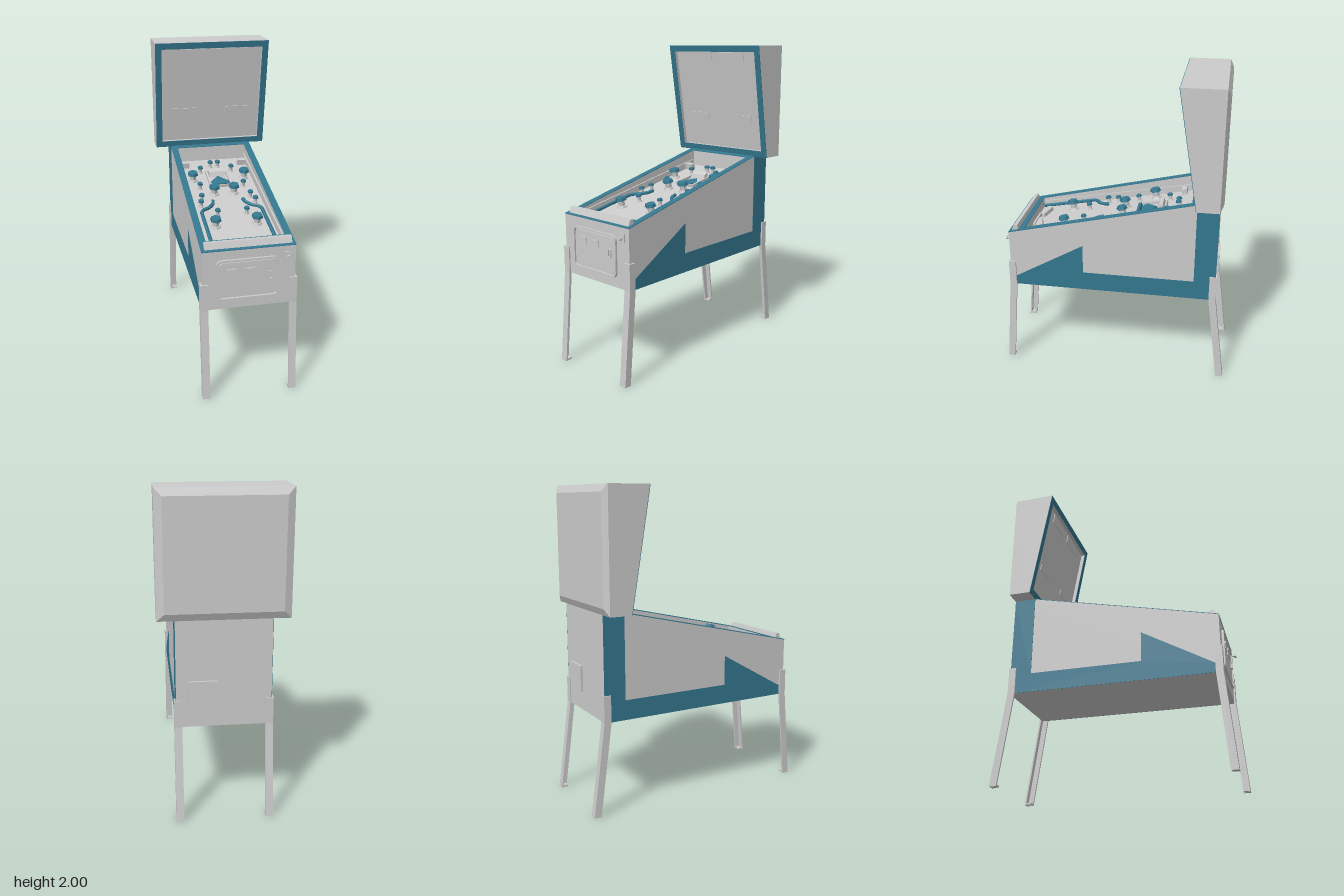
import * as THREE from 'three';
import { ConvexGeometry } from 'three/addons/geometries/ConvexGeometry.js';

const grey = new THREE.MeshStandardMaterial({ color: 0xcccccc, flatShading: true });
const blue = new THREE.MeshStandardMaterial({ color: 0x35788f, flatShading: true });

function add(parent, name, geometry, material = grey, x = 0, y = 0, z = 0) {
  const mesh = new THREE.Mesh(geometry, material);
  mesh.name = name;
  mesh.position.set(x, y, z);
  parent.add(mesh);
  return mesh;
}
const box = (w, h, d) => new THREE.BoxGeometry(w, h, d);
const shapeOf = (pts) => new THREE.Shape(pts.map(([a, b]) => new THREE.Vector2(a, b)));
const extrude = (shape, depth) =>
  new THREE.ExtrudeGeometry(shape, { depth, bevelEnabled: false, curveSegments: 5 });

// Side profile given as [z, y] points, swept across x0..x1
function profile(pts, x0, x1) {
  return extrude(shapeOf(pts), x1 - x0).rotateY(-Math.PI / 2).translate(x1, 0, 0);
}

function roundedRect(w, h, r, Type = THREE.Shape) {
  const s = new Type(), a = w / 2 - r, b = h / 2 - r;
  s.absarc(a, b, r, 0, Math.PI / 2);
  s.absarc(-a, b, r, Math.PI / 2, Math.PI);
  s.absarc(-a, -b, r, Math.PI, Math.PI * 1.5);
  s.absarc(a, -b, r, Math.PI * 1.5, Math.PI * 2);
  s.closePath();
  return s;
}
function frameShape(w, h, r, border) {
  const s = roundedRect(w, h, r);
  s.holes.push(roundedRect(w - 2 * border, h - 2 * border, Math.max(r - border, 0.001), THREE.Path));
  return s;
}

const rimY = (z) => 0.97 + (0.69 - z) * 0.2304;

function buildCabinet(root) {
  const g = new THREE.Group();
  g.name = 'cabinet';
  root.add(g);
  const rim = (z0, z1, x0, x1) => add(g, 'topRim', profile(
    [[z0, rimY(z0)], [z1, rimY(z1)], [z1, rimY(z1) + 0.004], [z0, rimY(z0) + 0.004]], x0, x1), blue);
  const side = [[0.69, 0.59], [0.69, 0.97], [-0.525, 1.25], [-0.665, 1.25], [-0.665, 0.59]];
  const decal = [[0.655, 0.59], [0.655, 0.65], [0.2, 0.91], [0.2, 0.715], [-0.525, 0.715],
    [-0.525, 1.25], [-0.665, 1.25], [-0.665, 0.59]];
  for (const s of [-1, 1]) {
    const across = (a, b) => (s > 0 ? [a, b] : [-b, -a]);
    add(g, 'sidePanel', profile(side, ...across(0.245, 0.285)));
    add(g, 'sideDecal', profile(decal, ...across(0.285, 0.287)), blue);
    rim(0.59, -0.525, ...across(0.243, 0.286));
  }
  rim(0.692, 0.59, -0.286, 0.286);
  rim(-0.49, -0.525, -0.245, 0.245);
  add(g, 'frontWall', profile([[0.59, 0.59], [0.69, 0.59], [0.69, 0.97], [0.59, rimY(0.59)]], -0.245, 0.245));
  add(g, 'backWall', profile([[-0.665, 0.59], [-0.505, 0.59], [-0.505, 1.24], [-0.525, 1.25], [-0.665, 1.25]], -0.245, 0.245));
  add(g, 'floor', box(0.49, 0.02, 1.1), grey, 0, 0.6, 0.04);
  add(g, 'lockdownBar', profile([[0.675, 0.975], [0.66, 1.015], [0.637, 1.015], [0.628, 0.985]], -0.265, 0.265));
  add(g, 'rearAccessPanel', box(0.17, 0.17, 0.015), grey, 0.125, 0.795, -0.672);

  // Coin door
  const door = new THREE.Group();
  door.name = 'coinDoor';
  door.position.set(-0.01, 0.78, 0.69);
  g.add(door);
  add(door, 'doorFrame', extrude(frameShape(0.385, 0.265, 0.035, 0.014), 0.014));
  add(door, 'doorPanel', extrude(roundedRect(0.345, 0.225, 0.024), 0.008));
  for (const x of [-0.1, 0.01]) {
    add(door, 'coinPlate', box(0.065, 0.05, 0.004), grey, x, 0.05, 0.01);
    add(door, 'coinSlot', box(0.052, 0.012, 0.012), grey, x, 0.066, 0.012);
  }
  add(door, 'doorHandle', extrude(frameShape(0.03, 0.055, 0.01, 0.006), 0.008), grey, 0.138, 0.015, 0.008);

  // Plunger
  const round = (r, d) => new THREE.CylinderGeometry(r, r, d, 10).rotateX(Math.PI / 2);
  add(g, 'plungerPlate', box(0.034, 0.05, 0.008), grey, 0.234, 0.907, 0.694);
  add(g, 'plungerRod', round(0.006, 0.03), grey, 0.234, 0.907, 0.708);
  add(g, 'plungerKnob', round(0.013, 0.012), grey, 0.234, 0.907, 0.72);
}

// Angle-section leg, bent where it leaves the cabinet
function buildLeg(root, sx, sz, zTop) {
  const g = new THREE.Group();
  g.name = sz > 0 ? 'frontLeg' : 'rearLeg';
  root.add(g);
  const strip = (width) => [[zTop, 0.76], [zTop, 0.59], [0.75, 0], [0.75 - width, 0],
    [zTop - width, 0.59], [zTop - width, 0.76]].map(([z, y]) => [z * sz, y]);
  const across = (a, b) => (sx > 0 ? [a, b] : [-b, -a]);
  add(g, 'legSide', profile(strip(0.046), ...across(0.285, 0.297)));
  add(g, 'legFace', profile(strip(0.011), ...across(0.25, 0.297)));
  add(g, 'legFoot', box(0.045, 0.012, 0.042), grey, sx * 0.273, 0.008, sz * 0.727);
}

function buildBackbox(root) {
  const g = new THREE.Group();
  g.name = 'backbox';
  root.add(g);
  const lean = 0.125 / 0.75;
  const frontZ = (y) => -0.525 + (y - 1.25) * lean;
  const band = (y0, y1) => [[frontZ(y0), y0], [frontZ(y1), y1], [frontZ(y1) - 0.04, y1], [frontZ(y0) - 0.04, y0]];
  add(g, 'backboxBody', profile([[-0.55, 1.25], [-0.425, 2], [-0.665, 2], [-0.665, 1.25]], -0.39, 0.39));
  add(g, 'surroundSide', profile(band(1.25, 2), -0.39, -0.348));
  add(g, 'surroundSide', profile(band(1.25, 2), 0.348, 0.39));
  add(g, 'surroundTop', profile(band(1.957, 2), -0.348, 0.348));
  add(g, 'surroundBottom', profile(band(1.25, 1.292), -0.348, 0.348));

  // Bevelled rear cover
  const corners = [];
  for (const sx of [-1, 1]) for (const sy of [-1, 1]) {
    corners.push(new THREE.Vector3(sx * 0.39, 1.625 + sy * 0.375, -0.665));
    corners.push(new THREE.Vector3(sx * 0.345, 1.625 + sy * 0.33, -0.687));
  }
  add(g, 'rearCover', new ConvexGeometry(corners));

  // Leaning front: coloured frame and shallow display panels
  const face = new THREE.Group();
  face.name = 'backboxFace';
  face.position.set(0, 1.25, -0.525);
  face.rotation.x = Math.atan(lean);
  g.add(face);
  add(face, 'faceFrame', extrude(frameShape(0.78, 0.76, 0.001, 0.042), 0.003), blue, 0, 0.38, 0);
  for (const s of [-1, 1]) {
    add(face, 'upperDisplay', box(0.21, 0.065, 0.008), grey, s * 0.137, 0.675, -0.024);
    add(face, 'lowerDisplay', box(0.165, 0.04, 0.008), grey, s * 0.187, 0.26, -0.024);
  }
}

function buildPlayfield(root) {
  const g = new THREE.Group();
  g.name = 'playfield';
  g.position.y = 1.04;
  g.rotation.x = Math.atan(0.19);
  root.add(g);
  add(g, 'playfieldBoard', box(0.49, 0.02, 1.13), grey, 0, -0.01, 0.04);
  add(g, 'apronStrip', box(0.18, 0.02, 0.014), grey, 0, 0.01, 0.583);

  // Hexagonal post: base, stem and coloured cap
  const hex = (top, bottom, h) => new THREE.CylinderGeometry(top, bottom, h, 6);
  function post(name, x, z, r, h) {
    const p = new THREE.Group();
    p.name = name;
    p.position.set(x, 0, z);
    g.add(p);
    add(p, 'postBase', hex(r * 0.8, r, h * 0.2), grey, 0, h * 0.1, 0);
    add(p, 'postStem', hex(r * 0.6, r * 0.6, h * 0.6), grey, 0, h * 0.45, 0);
    add(p, 'postCap', hex(r * 0.85, r, h * 0.28), blue, 0, h * 0.84, 0);
  }
  const bumpers = [[0.18, -0.23], [0.067, -0.035], [0.133, 0.35]];
  const pegs = [[0.11, -0.335], [0.15, -0.115], [0.165, 0.03], [0.182, 0.105], [0.095, 0.225], [0.026, -0.405]];

  for (const s of [-1, 1]) {
    for (const [x, z] of bumpers) post('bumper', s * x, z, 0.038, 0.07);
    for (const [x, z] of pegs) post('peg', s * x, z, 0.02, 0.05);
    add(g, 'sideRail', box(0.01, 0.05, 1.08), grey, s * 0.24, 0.02, 0.04);
    add(g, 'cornerBlock', box(0.06, 0.04, 0.035), grey, s * 0.205, 0.02, -0.425);

    // Guide rail along the side lane
    const path = new THREE.CurvePath();
    const pts = [[0.1, 0.085], [0.108, 0.125], [0.14, 0.165], [0.178, 0.185], [0.198, 0.21], [0.198, 0.58]]
      .map(([x, z]) => new THREE.Vector3(s * x, 0.025, z));
    for (let i = 1; i < pts.length; i++) path.add(new THREE.LineCurve3(pts[i - 1], pts[i]));
    add(g, 'guideRail', new THREE.TubeGeometry(path, 40, 0.012, 6), blue);

    // Flipper: wide pivot tapering to a narrow tip
    const f = new THREE.Shape();
    f.absarc(0, 0, 0.025, Math.PI / 2, Math.PI * 1.5);
    f.absarc(0.1, 0, 0.013, -Math.PI / 2, Math.PI / 2);
    f.closePath();
    const flipper = add(g, 'flipper', extrude(f, 0.025).rotateX(-Math.PI / 2), grey, s * 0.135, 0.008, 0.53);
    flipper.rotation.y = s > 0 ? Math.PI + 0.16 : -0.16;
  }

  // Central target with arrow marker
  const t = new THREE.Group();
  t.name = 'centreTarget';
  t.position.set(0, 0, -0.22);
  g.add(t);
  add(t, 'targetFrame', extrude(frameShape(0.155, 0.2, 0.002, 0.012), 0.02).rotateX(-Math.PI / 2));
  add(t, 'targetBlock', profile([[-0.085, 0], [-0.035, 0], [-0.055, 0.035], [-0.085, 0.045]], -0.058, 0.058));
  const arrow = [[0, 0.035], [0.065, -0.04], [0.03, -0.07], [-0.03, -0.07], [-0.065, -0.04]];
  add(t, 'targetArrow', extrude(shapeOf(arrow), 0.012).rotateX(-Math.PI / 2), blue);
  add(t, 'targetBar', box(0.125, 0.025, 0.02), blue, 0, 0.013, 0.085);
}

export function createModel() {
  const root = new THREE.Group();
  root.name = 'pinballTable';
  buildCabinet(root);
  buildBackbox(root);
  buildPlayfield(root);
  for (const sx of [-1, 1]) {
    buildLeg(root, sx, 1, 0.7);
    buildLeg(root, sx, -1, 0.672);
  }
  return root;
}
